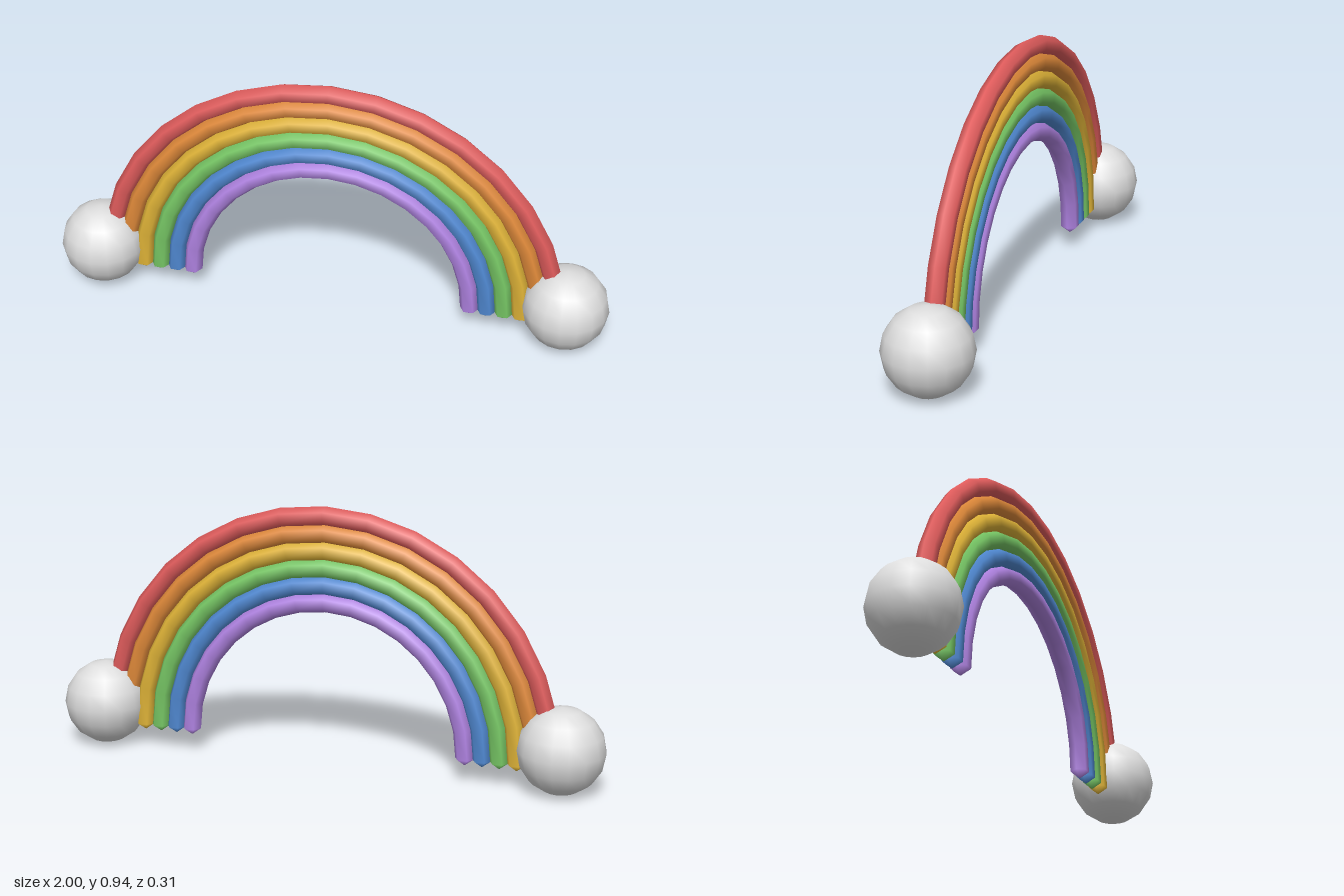
import * as THREE from 'three';

const BASE_Y = 0.085;      // height of the arch centre
const TUBE = 0.034;        // band thickness (hexagonal section)
const INNER = 0.51;        // centre-line radius of the innermost band
const STEP = 0.0612;       // spacing between bands
const PUFF = 0.153;        // radius of the end balls

const makeMaterial = (name, color) => {
  const m = new THREE.MeshStandardMaterial({ color });
  m.name = name;
  return m;
};

export function createModel() {
  const model = new THREE.Group();
  model.name = 'rainbow';

  const add = (parent, name, geometry, material, x, y) => {
    const mesh = new THREE.Mesh(geometry, material);
    mesh.name = name;
    mesh.position.set(x, y, 0);
    parent.add(mesh);
  };

  // Bands from the inside out: half rings with pointed ends
  const bands = [
    ['purple', 0xb083e2], ['blue', 0x5089d2], ['green', 0x77c765],
    ['yellow', 0xe0b438], ['orange', 0xe08a3a], ['red', 0xe05c5c],
  ];
  const tip = new THREE.SphereGeometry(TUBE, 6, 2).scale(1, 0.75, 1);
  bands.forEach(([name, color], i) => {
    const material = makeMaterial(name, color);
    const radius = INNER + i * STEP;
    const band = new THREE.Group();
    band.name = name + 'Band';
    add(band, name + 'Arch', new THREE.TorusGeometry(radius, TUBE, 6, 16, Math.PI), material, 0, BASE_Y);
    add(band, name + 'LeftTip', tip, material, radius, BASE_Y);
    add(band, name + 'RightTip', tip, material, -radius, BASE_Y);
    model.add(band);
  });

  // Cloud balls at both ends
  const white = makeMaterial('cloud white', 0xdedede);
  const ball = new THREE.SphereGeometry(PUFF, 16, 8);
  add(model, 'leftCloud', ball, white, 1 - PUFF, PUFF);
  add(model, 'rightCloud', ball, white, PUFF - 1, PUFF);

  return model;
}
